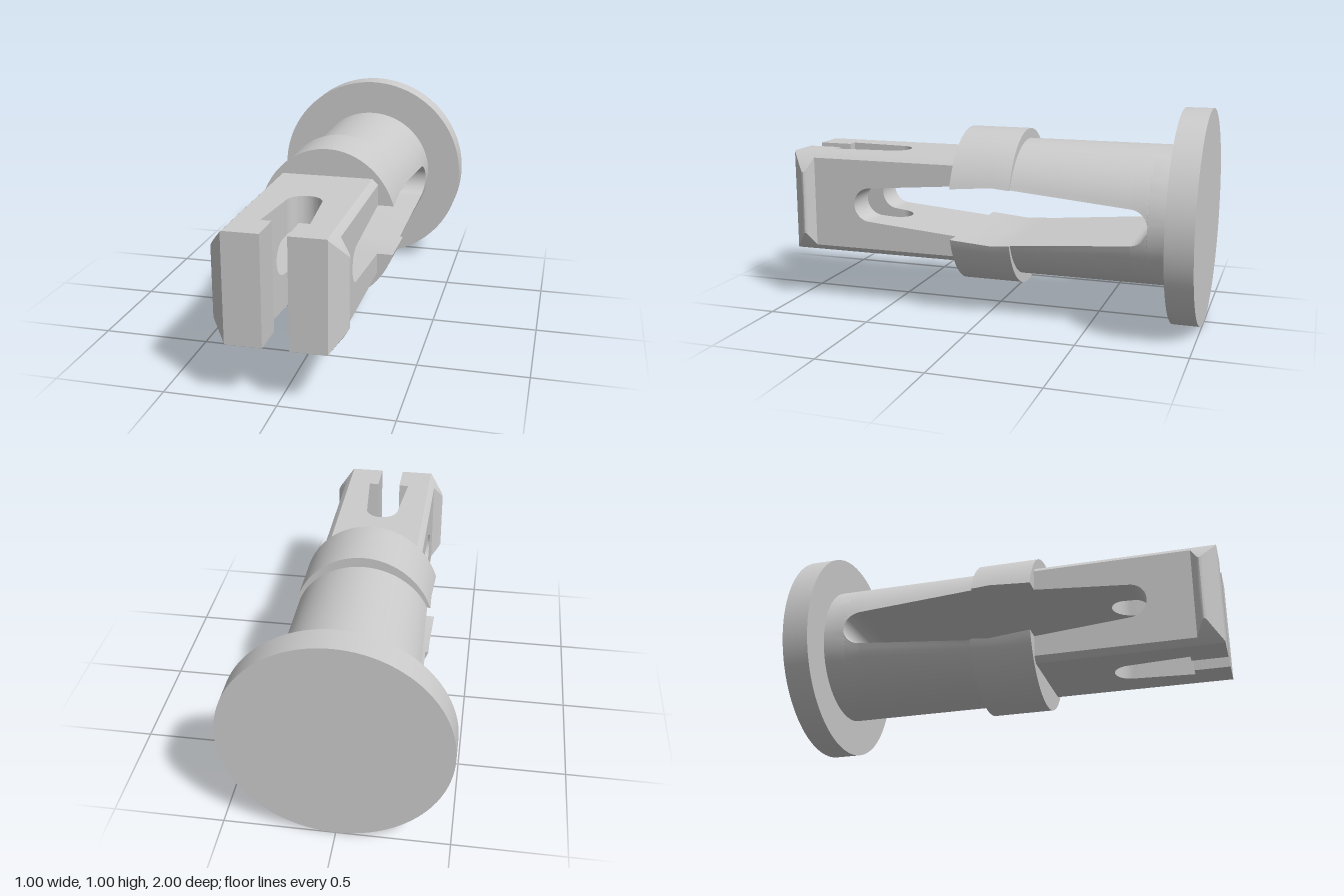
import * as THREE from 'three';
import { toCreasedNormals } from 'three/addons/utils/BufferGeometryUtils.js';

const R = 0.327; // shaft radius, also rounds the prong corners
const material = new THREE.MeshStandardMaterial({ color: 0xcccccc });

// Half height of the lens-shaped slot running through from side to side
const SLOT = { mid: -0.051, half: 0.724, r: 0.083 };
function slotHeight(z) {
  const d = Math.abs(z - SLOT.mid), c = SLOT.half - SLOT.r;
  if (d >= SLOT.half - 1e-6) return 0;
  if (d > c + 0.007) return Math.sqrt(SLOT.r ** 2 - (d - c) ** 2);
  return 0.137 - 0.0543 * d / (c + 0.007);
}

// Half width of the gap between the prongs, running through from top to bottom
const GAP = { start: 0.474, r: 0.08 };
function gapWidth(z) {
  const d = z - GAP.start;
  if (d <= 1e-6) return 0;
  if (d < GAP.r) return Math.sqrt(GAP.r ** 2 - (d - GAP.r) ** 2);
  return 0.08 + 0.025 * (d - GAP.r) / (0.835 - GAP.start - GAP.r);
}

// z positions that follow a round end, from its tip inwards
const roundEnd = (tip, r, dir) =>
  Array.from({ length: 13 }, (_, i) => tip + dir * r * (1 - Math.cos(i / 12 * Math.PI / 2)));

// Quarter section: ellipse a x b clipped to x < X, y < Y, less the gap g and slot h
function quarterSection({ a, b, X, Y, g, h }) {
  const N = 20;
  const t0 = Math.max(Math.acos(Math.min(1, X / a)), Math.asin(h / b));
  const t1 = Math.min(Math.asin(Math.min(1, Y / b)), Math.acos(g / a));
  const pts = [[g, h], [a * Math.cos(t0), h]];
  for (let i = 0; i <= N; i++) {
    const t = t0 + (t1 - t0) * i / N;
    pts.push([a * Math.cos(t), b * Math.sin(t)]);
  }
  pts.push([g, b * Math.sin(t1)]);
  return pts;
}

// Loft the quarter sections along z and mirror them into all four quadrants
function loft(name, zs, sectionAt) {
  zs = [...new Set(zs)].sort((p, q) => p - q);
  const rings = zs.map(z => quarterSection(sectionAt(z)).map(p => new THREE.Vector3(p[0], p[1], z)));
  const out = [];
  const tri = (p, q, r) => {
    const area = q.clone().sub(p).cross(r.clone().sub(p)).length();
    const inside = ['x', 'y'].some(k => [p, q, r].every(v => Math.abs(v[k]) < 1e-6));
    if (area < 1e-9 || inside) return; // skip slivers and faces on the mirror planes
    for (const sx of [1, -1]) for (const sy of [1, -1]) {
      const order = sx * sy > 0 ? [p, q, r] : [p, r, q];
      for (const v of order) out.push(v.x * sx, v.y * sy, v.z);
    }
  };
  const n = rings[0].length;
  for (let k = 0; k + 1 < rings.length; k++) {
    const A = rings[k], B = rings[k + 1];
    for (let i = 0; i < n; i++) {
      const j = (i + 1) % n;
      tri(A[i], A[j], B[j]);
      tri(A[i], B[j], B[i]);
    }
  }
  const back = rings[0], front = rings[rings.length - 1];
  for (let i = 1; i + 1 < n; i++) {
    tri(back[0], back[i + 1], back[i]);
    tri(front[0], front[i], front[i + 1]);
  }
  const geo = new THREE.BufferGeometry();
  geo.setAttribute('position', new THREE.Float32BufferAttribute(out, 3));
  const mesh = new THREE.Mesh(toCreasedNormals(geo, Math.PI / 7), material);
  mesh.name = name;
  return mesh;
}

export function createModel() {
  const group = new THREE.Group();
  group.name = 'pushPin';
  const body = new THREE.Group();
  body.name = 'pinBody';
  body.position.y = 0.5;
  group.add(body);

  // Flat round head at the back
  const head = new THREE.Mesh(new THREE.CylinderGeometry(0.5, 0.5, 0.125, 96), material);
  head.name = 'head';
  head.rotation.x = Math.PI / 2;
  head.position.z = -0.9375;
  body.add(head);

  // Round shaft, split by the slot
  const slotBack = SLOT.mid - SLOT.half, slotFront = SLOT.mid + SLOT.half;
  body.add(loft('shaft', [-0.875, ...roundEnd(slotBack, SLOT.r, 1), -0.14],
    z => ({ a: R, b: R, X: R, Y: R, g: 0, h: slotHeight(z) })));

  // Slightly oval collar
  body.add(loft('collar', [-0.14, SLOT.mid, 0.148],
    z => ({ a: 0.336, b: 0.375, X: 0.336, Y: 0.375, g: 0, h: slotHeight(z) })));

  // Prongs with rounded corners
  body.add(loft('prongs',
    [0.148, ...roundEnd(GAP.start, GAP.r, 1), ...roundEnd(slotFront, SLOT.r, -1), 0.835],
    z => ({ a: R, b: R, X: 0.243, Y: 0.246, g: gapWidth(z), h: slotHeight(z) })));

  // Barbed tips, with a narrower gap
  const barb = [[0.835, 0.243], [0.883, 0.243], [0.908, 0.282], [0.915, 0.288],
    [0.922, 0.29], [0.93, 0.288], [0.937, 0.283], [1, 0.22]];
  const barbWidth = new Map(barb);
  body.add(loft('barbedTips', barb.map(p => p[0]),
    z => ({ a: R, b: R, X: barbWidth.get(z), Y: 0.246, g: 0.057, h: 0 })));

  return group;
}
